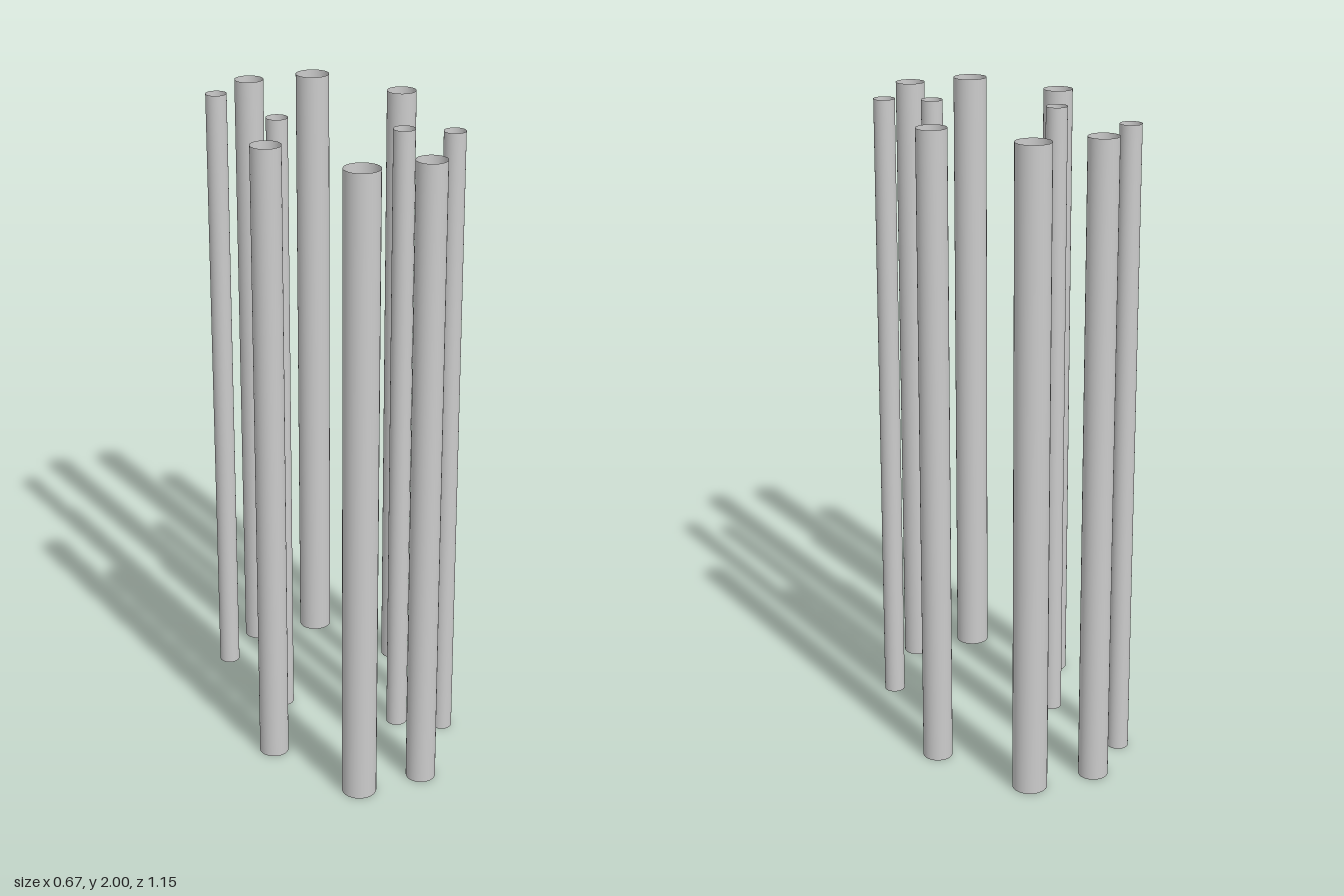
import * as THREE from 'three';

const HEIGHT = 2;
const SMALL = 0.033, MEDIUM = 0.046, LARGE = 0.0535;

// Each tube: name, x, z, radius
const TUBES = [
  ['frontRightLargeTube', -0.113, 0.524, LARGE],
  ['frontLeftTube', 0.097, 0.51, MEDIUM],
  ['frontRightSideTube', -0.293, 0.219, MEDIUM],
  ['frontLeftSideThinTube', 0.269, 0.257, SMALL],
  ['innerLeftThinTube', 0.139, 0.187, SMALL],
  ['innerRightThinTube', -0.173, -0.053, SMALL],
  ['backLeftSideTube', 0.29, -0.23, MEDIUM],
  ['backRightSideThinTube', -0.265, -0.381, SMALL],
  ['backRightTube', -0.117, -0.52, MEDIUM],
  ['backLeftLargeTube', 0.096, -0.522, LARGE],
];

export function createModel() {
  const group = new THREE.Group();
  group.name = 'hangingTubes';
  const material = new THREE.MeshStandardMaterial({ color: 0xcccccc, side: THREE.DoubleSide });

  // Thin-walled vertical tubes, open at both ends
  for (const [name, x, z, radius] of TUBES) {
    const tube = new THREE.Mesh(
      new THREE.CylinderGeometry(radius, radius, HEIGHT, 32, 1, true),
      material
    );
    tube.name = name;
    tube.position.set(x, HEIGHT / 2, z);
    group.add(tube);
  }
  return group;
}
